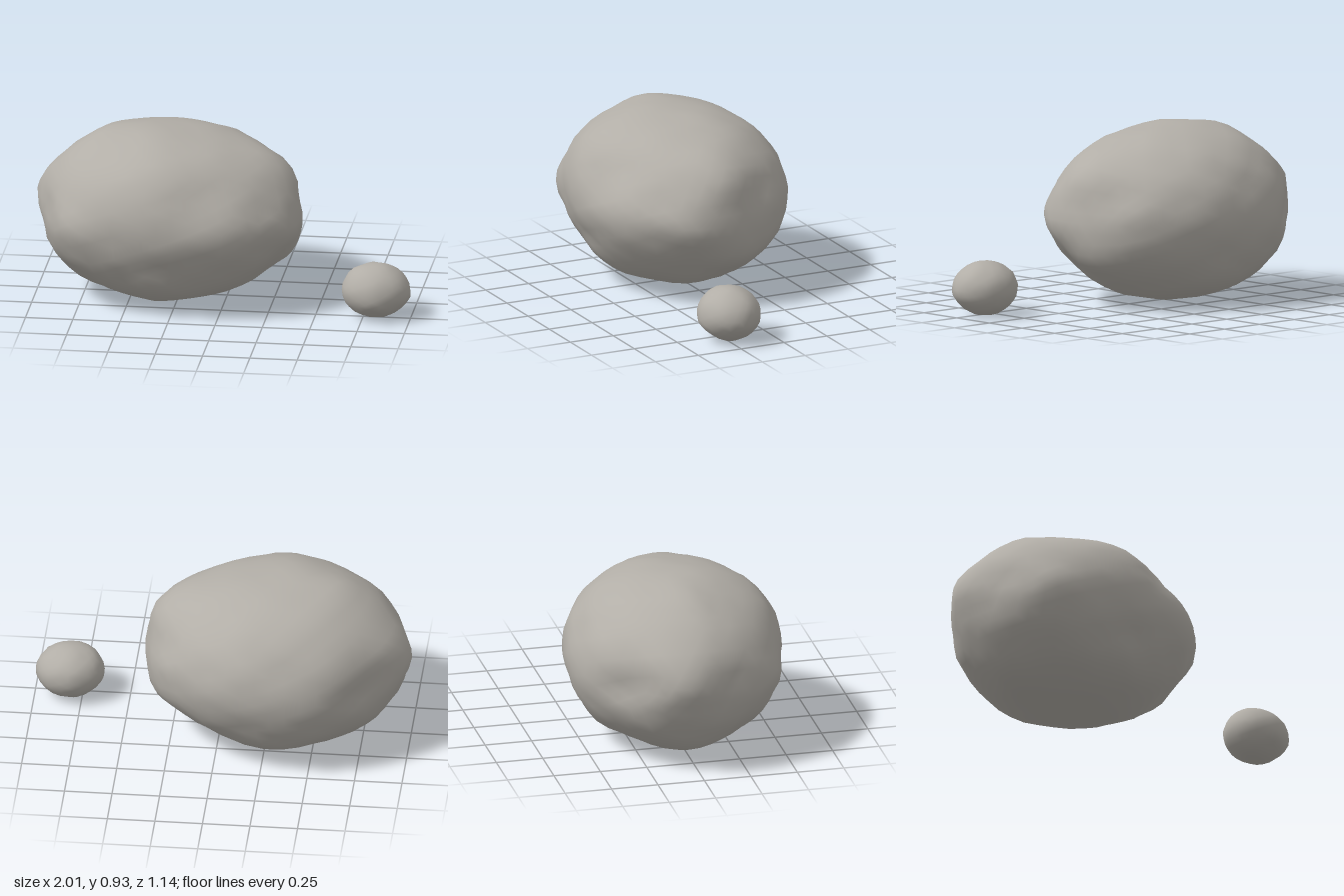
import * as THREE from 'three';
import { mergeVertices } from 'three/addons/utils/BufferGeometryUtils.js';

// Smooth lumpy noise on the unit sphere
function lumps(d, seed) {
  return 0.8 * Math.sin(5.1 * d.x + 3.3 * d.y + seed) * Math.sin(4.7 * d.z - 2.9 * d.x + 2 * seed)
    + 0.7 * Math.sin(8.3 * d.y + 6.1 * d.z + 3 * seed) * Math.sin(9.1 * d.x - 5.2 * d.y + seed)
    + 0.7 * Math.sin(13.7 * d.x + 9.3 * d.z + seed) * Math.sin(13.9 * d.y - 7.7 * d.z + 2 * seed);
}

// An ellipsoid with rough noise and soft swells (+) or hollows (-): [x, y, z, amount]
function rock(name, { detail, center, radii, swells, roughness, seed }, material) {
  let geo = new THREE.IcosahedronGeometry(1, detail);
  geo.deleteAttribute('uv');
  geo.deleteAttribute('normal');
  geo = mergeVertices(geo, 1e-4);

  const points = swells.map(([x, y, z, amount]) => ({ dir: new THREE.Vector3(x, y, z).normalize(), amount }));
  const [rx, ry, rz] = radii;
  const pos = geo.attributes.position;
  const d = new THREE.Vector3();
  for (let i = 0; i < pos.count; i++) {
    d.fromBufferAttribute(pos, i);
    let r = 1 + roughness * lumps(d, seed);
    for (const { dir, amount } of points) r += amount * Math.exp(-d.distanceToSquared(dir) / 0.075);
    // the underside rests on the ground
    pos.setXYZ(i, d.x * r * rx, Math.max(d.y * r * ry, -center[1]), d.z * r * rz);
  }
  geo.computeVertexNormals();

  const mesh = new THREE.Mesh(geo, material);
  mesh.name = name;
  mesh.position.set(...center);
  return mesh;
}

export function createModel() {
  const group = new THREE.Group();
  group.name = 'rocks';
  const stone = new THREE.MeshStandardMaterial({ color: 0xb2aea7 });

  group.add(rock('largeRock', {
    detail: 8,
    center: [-0.305, 0.468, 0],
    radii: [0.69, 0.467, 0.57],
    roughness: 0.012,
    seed: 1.3,
    swells: [
      // shoulders and underside
      [0.85, 0.55, 0, 0.07], [-0.5, 0.87, 0, 0.04], [-0.6, -0.8, 0, 0.06], [0, 0.64, 0.77, 0.05],
      [0.9, -0.42, -0.05, 0.06], [0.78, -0.62, 0.1, -0.03], [0, -0.75, -0.7, 0.05],
      [0, -0.75, 0.7, 0.03], [0.3, 0.93, 0.1, -0.03],
      // around the waist
      [0.92, 0, 0.38, 0.06], [0.54, 0, 0.85, 0.04], [-0.36, 0, 0.93, -0.04],
      [-0.62, 0, 0.8, 0.06], [-0.95, 0, 0.25, -0.05], [-1, 0.13, -0.17, 0.04],
      [-0.75, 0, -0.65, -0.07], [0.85, 0.25, -0.45, -0.02], [0, 0, -1, 0.02],
      // front face
      [0.32, 0.5, 0.8, -0.05], [0, -0.4, 0.9, -0.05],
    ],
  }, stone));

  group.add(rock('smallRock', {
    detail: 4,
    center: [0.815, 0.143, 0.23],
    radii: [0.179, 0.143, 0.164],
    roughness: 0.016,
    seed: 4.1,
    swells: [
      [1, -0.25, 0.1, 0.06], [0.8, -0.65, 0.1, -0.04], [0, 1, 0, 0.02],
      [-0.7, 0.7, 0, 0.04], [0, -0.3, 0.95, 0.04], [0, -0.7, 0.7, -0.03],
    ],
  }, stone));

  return group;
}
